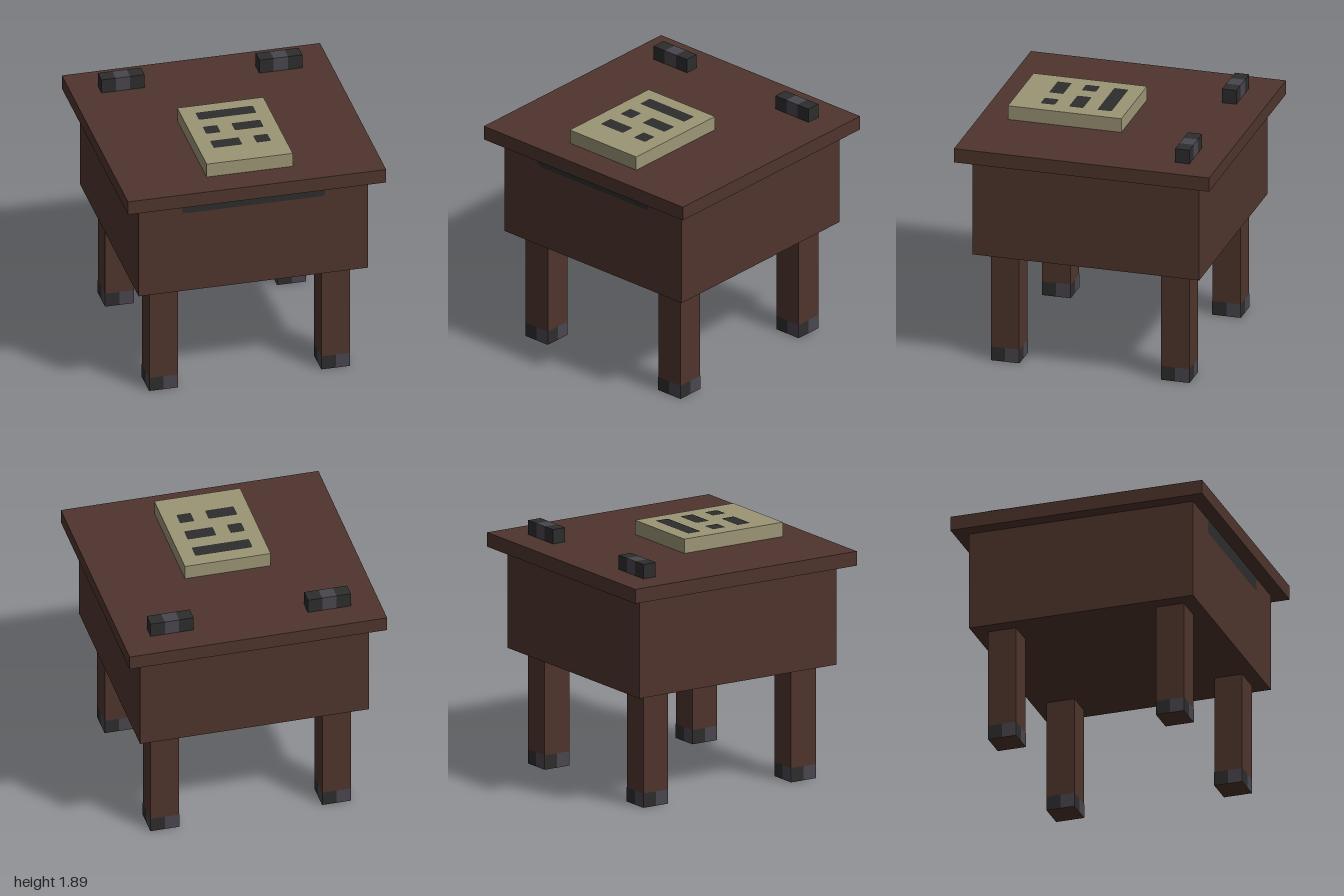
import * as THREE from 'three';

const U = 1 / 9; // modelling unit

const material = (name, color) => {
  const m = new THREE.MeshStandardMaterial({ color });
  m.name = name;
  return m;
};

export function createModel() {
  const wood = material('darkWood', 0x4f342d);
  const iron = material('darkIron', 0x2d2d2d);
  const steel = material('greySteel', 0x49464e);
  const paper = material('paper', 0x9c9576);

  const model = new THREE.Group();
  model.name = 'desk';

  const add = (parent, name, geometry, mat) => {
    const mesh = new THREE.Mesh(geometry, mat);
    mesh.name = name;
    parent.add(mesh);
    return mesh;
  };

  // Box given by its lower and upper corners, in units
  const box = (parent, name, mat, [x0, y0, z0], [x1, y1, z1]) => {
    const g = new THREE.BoxGeometry((x1 - x0) * U, (y1 - y0) * U, (z1 - z0) * U);
    g.translate((x0 + x1) / 2 * U, (y0 + y1) / 2 * U, (z0 + z1) / 2 * U);
    return add(parent, name, g, mat);
  };

  // Flat rectangle facing +z, with separate radii for top and bottom corners
  const plate = (w, h, rTop, rBottom) => {
    const x = w / 2, y = h / 2;
    const s = new THREE.Shape();
    s.moveTo(-x + rBottom, -y);
    s.lineTo(x - rBottom, -y);
    s.quadraticCurveTo(x, -y, x, -y + rBottom);
    s.lineTo(x, y - rTop);
    s.quadraticCurveTo(x, y, x - rTop, y);
    s.lineTo(-x + rTop, y);
    s.quadraticCurveTo(-x, y, -x, y - rTop);
    s.lineTo(-x, -y + rBottom);
    s.quadraticCurveTo(-x, -y, -x + rBottom, -y);
    return new THREE.ShapeGeometry(s, 4);
  };

  // Lid and body
  box(model, 'tabletop', wood, [-9, 15, -9], [9, 16, 9]);
  box(model, 'body', wood, [-8, 8, -8], [8, 15, 8]);

  // Dark opening under the lid, on the front only
  add(model, 'frontSlot', plate(10 * U, U, 0, 0.03), iron)
    .position.set(0, 14.5 * U, 8 * U + 0.003);

  // Legs, each wrapped at the foot by a two-tone metal band
  for (const x of [-6, 6]) for (const z of [-6, 6]) {
    const leg = new THREE.Group();
    leg.name = (z > 0 ? 'front' : 'back') + (x > 0 ? 'Left' : 'Right') + 'Leg';
    leg.position.set(x * U, 0, z * U);
    model.add(leg);
    box(leg, 'post', wood, [-1, 0, -1], [1, 8, 1]);
    for (let i = 0; i < 4; i++) {
      const side = new THREE.Group();
      side.name = 'footBand';
      side.rotation.y = i * Math.PI / 2;
      leg.add(side);
      [iron, steel].forEach((mat, k) => {
        add(side, k ? 'steelHalf' : 'ironHalf', new THREE.PlaneGeometry(U, U), mat)
          .position.set((k - 0.5) * U, U / 2, U + 0.002);
      });
    }
  }

  // Hinges at the back of the lid
  for (const x of [-5.5, 5.5]) {
    const hinge = new THREE.Group();
    hinge.name = x > 0 ? 'leftHinge' : 'rightHinge';
    model.add(hinge);
    [iron, steel, iron].forEach((mat, k) => {
      const x0 = x - 1.5 + k;
      box(hinge, k === 1 ? 'hingeCentre' : 'hingeEnd', mat, [x0, 16, -7], [x0 + 1, 17, -6]);
    });
  }

  // Paper block with rows of dark marks: [x start, x end, z start]
  box(model, 'paperBlock', paper, [-3, 16, -1], [3, 17, 7]);
  for (const [x0, x1, z] of [[-2, 2, 0], [-2, -1, 2], [0, 2, 2], [-2, 0, 4], [1, 2, 4]]) {
    const mark = add(model, 'writtenMark', plate((x1 - x0) * U, U, 0.012, 0.012), iron);
    mark.rotation.x = -Math.PI / 2;
    mark.position.set((x0 + x1) / 2 * U, 17 * U + 0.003, (z + 0.5) * U);
  }

  return model;
}
